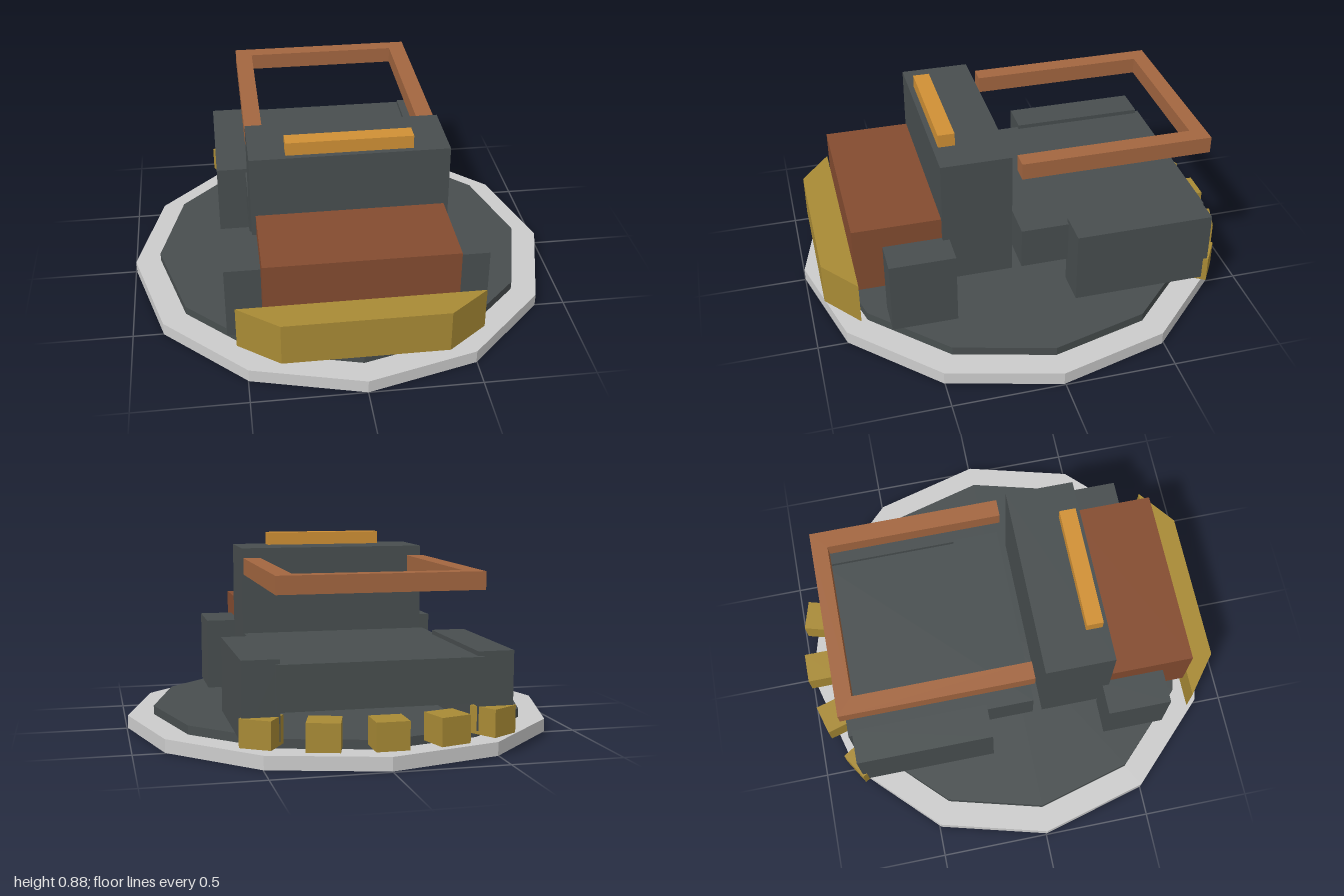
import * as THREE from 'three';

const mat = (name, color) => {
  const m = new THREE.MeshStandardMaterial({ color });
  m.name = name;
  return m;
};

export function createModel() {
  const model = new THREE.Group();
  model.name = 'vehicleOnBase';

  const paleGrey = mat('pale grey', 0xcccccc);
  const charcoal = mat('charcoal', 0x484e4f);
  const rust = mat('rust', 0x844c30);
  const copper = mat('copper', 0xa36640);
  const brass = mat('brass', 0xa88a35);
  const amber = mat('amber', 0xd09035);

  const add = (name, geometry, material) => {
    const mesh = new THREE.Mesh(geometry, material);
    mesh.name = name;
    model.add(mesh);
    return mesh;
  };

  // Box given by its extents on each axis
  const box = (name, material, [x0, x1], [y0, y1], [z0, z1]) => {
    const mesh = add(name, new THREE.BoxGeometry(x1 - x0, y1 - y0, z1 - z0), material);
    mesh.position.set((x0 + x1) / 2, (y0 + y1) / 2, (z0 + z1) / 2);
    return mesh;
  };

  // Plan outline of [x, z] points raised from y0 to y1
  const slab = (name, material, points, y0, y1) => {
    const shape = new THREE.Shape(points.map(([x, z]) => new THREE.Vector2(x, -z)));
    const geometry = new THREE.ExtrudeGeometry(shape, { depth: y1 - y0, bevelEnabled: false });
    geometry.rotateX(-Math.PI / 2);
    geometry.translate(0, y0, 0);
    return add(name, geometry, material);
  };

  // Twelve-sided discs, faceted
  const disc = (name, material, radius, y0, y1) => {
    const geometry = new THREE.CylinderGeometry(radius, radius, y1 - y0, 12).toNonIndexed();
    geometry.computeVertexNormals();
    add(name, geometry, material).position.set(0, (y0 + y1) / 2, 0.005);
  };
  disc('baseDisc', paleGrey, 0.995, 0, 0.06);
  disc('upperDisc', charcoal, 0.875, 0.06, 0.1);

  // Body
  box('cabin', charcoal, [-0.44, 0.44], [0.225, 0.82], [0.09, 0.405]);
  box('hood', rust, [-0.42, 0.42], [0.225, 0.54], [0.4, 0.8]);
  box('rearBed', charcoal, [-0.44, 0.44], [0.225, 0.42], [-0.83, 0.045]);
  box('lightBar', amber, [-0.28, 0.28], [0.82, 0.88], [0.305, 0.38]);

  // Blocky wheels on both sides
  for (const [side, x] of [['left', [0.42, 0.578]], ['right', [-0.578, -0.42]]]) {
    box(side + 'FrontWheel', charcoal, x, [0.1, 0.44], [0.375, 0.67]);
    box(side + 'RearWheel', charcoal, x, [0.1, 0.44], [-0.81, -0.175]);
  }

  // Front bumper with angled ends
  slab('bumper', brass, [[-0.54, 0.8], [-0.36, 0.94], [0.36, 0.94], [0.54, 0.8]], 0.145, 0.34);

  // Raised three-sided rail above the bed, open towards the cabin
  slab('topRail', copper, [
    [-0.44, 0.045], [-0.36, 0.045], [-0.36, -0.757], [0.36, -0.757],
    [0.36, 0.045], [0.44, 0.045], [0.44, -0.83], [-0.44, -0.83],
  ], 0.7, 0.777);

  // Arc of blocks along the back rim
  for (let i = -2; i <= 2; i++) {
    const angle = i * 0.28;
    const block = add('rimBlock', new THREE.BoxGeometry(0.14, 0.12, 0.134), brass);
    block.position.set(Math.sin(angle) * 0.933, 0.145, -Math.cos(angle) * 0.933);
    block.rotation.y = -angle;
  }

  return model;
}
